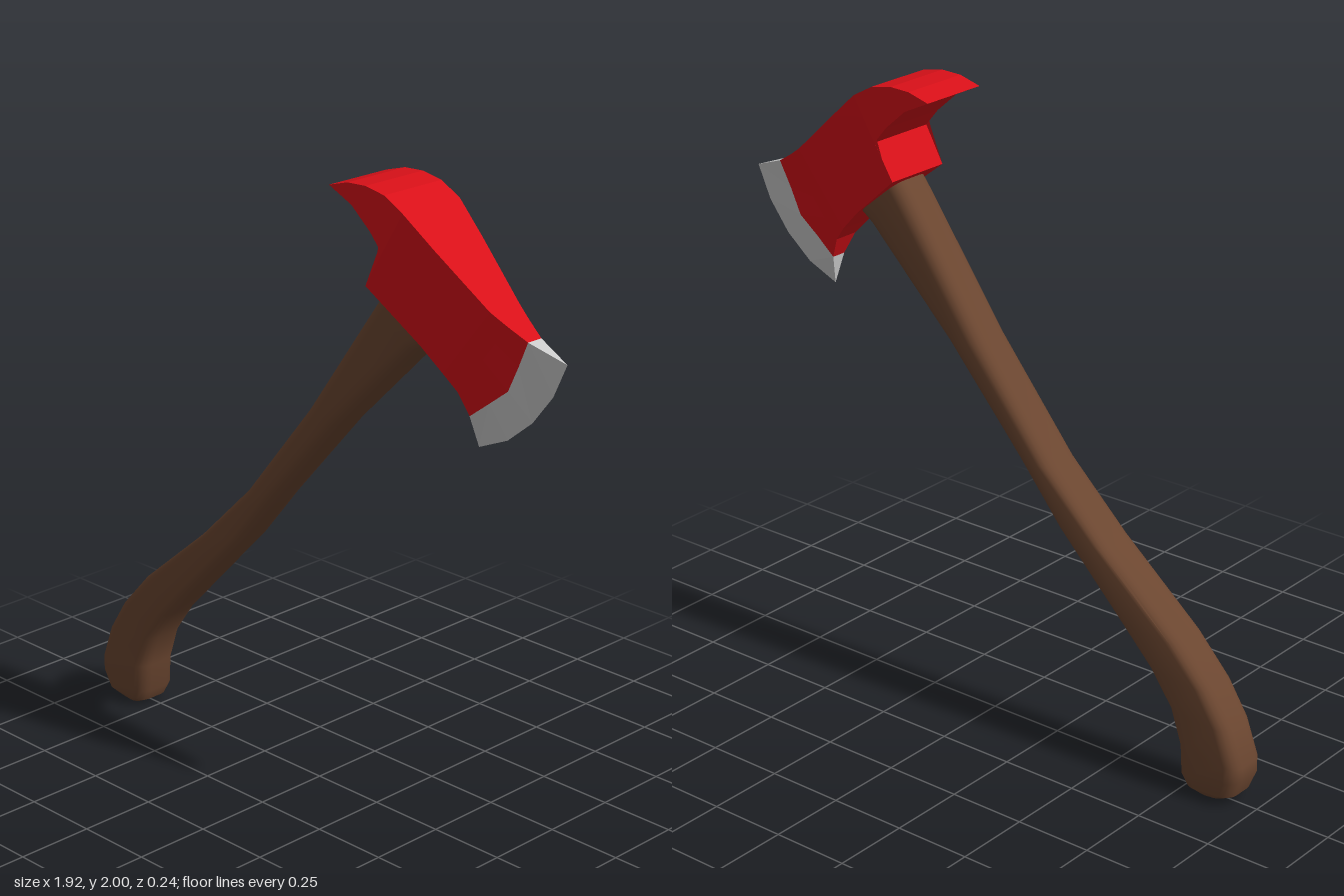
import * as THREE from 'three';
import { toCreasedNormals } from 'three/addons/utils/BufferGeometryUtils.js';

// Joins closed rings of [x, y, z] points into a skin, optionally capped.
function loft(rings, capped) {
  const n = rings[0].length, idx = [];
  for (let s = 0; s < rings.length - 1; s++) {
    for (let i = 0; i < n; i++) {
      const a = s * n + i, b = s * n + (i + 1) % n;
      idx.push(a, b, b + n, a, b + n, a + n);
    }
  }
  if (capped) {
    const e = (rings.length - 1) * n;
    for (let i = 1; i < n - 1; i++) idx.push(0, i + 1, i, e, e + i, e + i + 1);
  }
  const geo = new THREE.BufferGeometry();
  geo.setAttribute('position', new THREE.Float32BufferAttribute(rings.flat(2), 3));
  geo.setIndex(idx);
  return geo;
}

const mix = (a, b, t) => [a[0] + (b[0] - a[0]) * t, a[1] + (b[1] - a[1]) * t];

// Rounded-rectangle ring across the handle, from back edge l to belly edge r.
function handleRing([lx, ly, rx, ry, h = 0.074]) {
  const w = Math.hypot(rx - lx, ry - ly) / 2, rad = Math.min(0.042, h * 0.6);
  const zc = 0.01 - 0.005 * ly, ring = [], steps = 4;
  const corners = [[-1, 1, Math.PI], [1, 1, Math.PI / 2], [1, -1, 0], [-1, -1, -Math.PI / 2]];
  for (const [sx, sz, start] of corners) {
    for (let k = 0; k <= steps; k++) {
      const a = start - (k / steps) * Math.PI / 2;
      const u = sx * (w - rad) + rad * Math.cos(a), z = sz * (h - rad) + rad * Math.sin(a);
      ring.push([...mix([lx, ly], [rx, ry], 0.5 + u / (2 * w)), zc + z]);
    }
  }
  return ring;
}

// Half thickness of the head, thinning along the cutting direction.
function halfThickness(x, y) {
  const u = 0.767 * x - 0.64 * y;
  if (u < -0.88) return 0.118;
  if (u < -0.538) return 0.118 - (u + 0.88) * 0.167;
  return Math.max(0.021, 0.061 - (u + 0.538) * 0.255);
}

// Five points down a section, bent at its middle.
function column([tx, ty, bx, by, mx = (tx + bx) / 2, my = (ty + by) / 2]) {
  const t = [tx, ty], m = [mx, my], b = [bx, by];
  return [t, mix(t, m, 0.5), m, mix(m, b, 0.5), b];
}

// Mirrors a column to both cheeks, making a ring.
function headRing(points, thickness) {
  const front = points.map(([x, y]) => [x, y, thickness(x, y)]);
  return [...front, ...front.map(([x, y, z]) => [x, y, -z]).reverse()];
}

export function createModel() {
  const group = new THREE.Group();
  group.name = 'fireAxe';
  const add = (name, geo, color, flatShading) => {
    const mesh = new THREE.Mesh(geo, new THREE.MeshStandardMaterial({ color, flatShading }));
    mesh.name = name;
    group.add(mesh);
  };

  // Handle: curved grip at the foot, running up into the head
  const handle = [
    [-0.895, 0.008, -0.81, 0.0, 0.045],
    [-0.938, 0.032, -0.768, 0.022, 0.066],
    [-0.96, 0.09, -0.749, 0.06],
    [-0.96, 0.135, -0.743, 0.156],
    [-0.918, 0.25, -0.706, 0.267],
    [-0.85, 0.357, -0.627, 0.378],
    [-0.738, 0.48, -0.52, 0.49],
    [-0.468, 0.706, -0.278, 0.743],
    [-0.257, 0.913, -0.13, 0.923],
    [0.01, 1.245, 0.14, 1.23],
    [0.29, 1.645, 0.44, 1.53],
    [0.32, 1.685, 0.48, 1.56],
    [0.36, 1.73, 0.5, 1.6],
  ].map(handleRing);
  add('handle', toCreasedNormals(loft(handle, true), 0.6), 0x6b4630, false);

  // Head: curved rear beak, cheeks and flared bit (top x, y, bottom x, y, middle x, y)
  const sections = [
    [0.156, 1.976, 0.156, 1.976],
    [0.23, 1.997, 0.246, 1.934],
    [0.3, 2.0, 0.32, 1.87],
    [0.373, 1.987, 0.365, 1.817],
    [0.445, 1.948, 0.3, 1.706],
    [0.55, 1.86, 0.48, 1.56],
    [0.727, 1.712, 0.553, 1.49],
    [0.78, 1.678, 0.595, 1.442],
    [0.84, 1.643, 0.627, 1.373, 0.765, 1.48],
  ].map(column);
  add('axeHead', loft(sections.map((c) => headRing(c, halfThickness)), false), 0xd81018, true);

  // Blade: ground steel closing to a curved cutting edge
  const edge = [[0.96, 1.6], [0.913, 1.495], [0.84, 1.4], [0.75, 1.325], [0.643, 1.278]];
  const blade = [headRing(sections.at(-1), halfThickness), headRing(edge, () => 0)];
  add('blade', loft(blade, false), 0xcccccc, true);

  return group;
}
